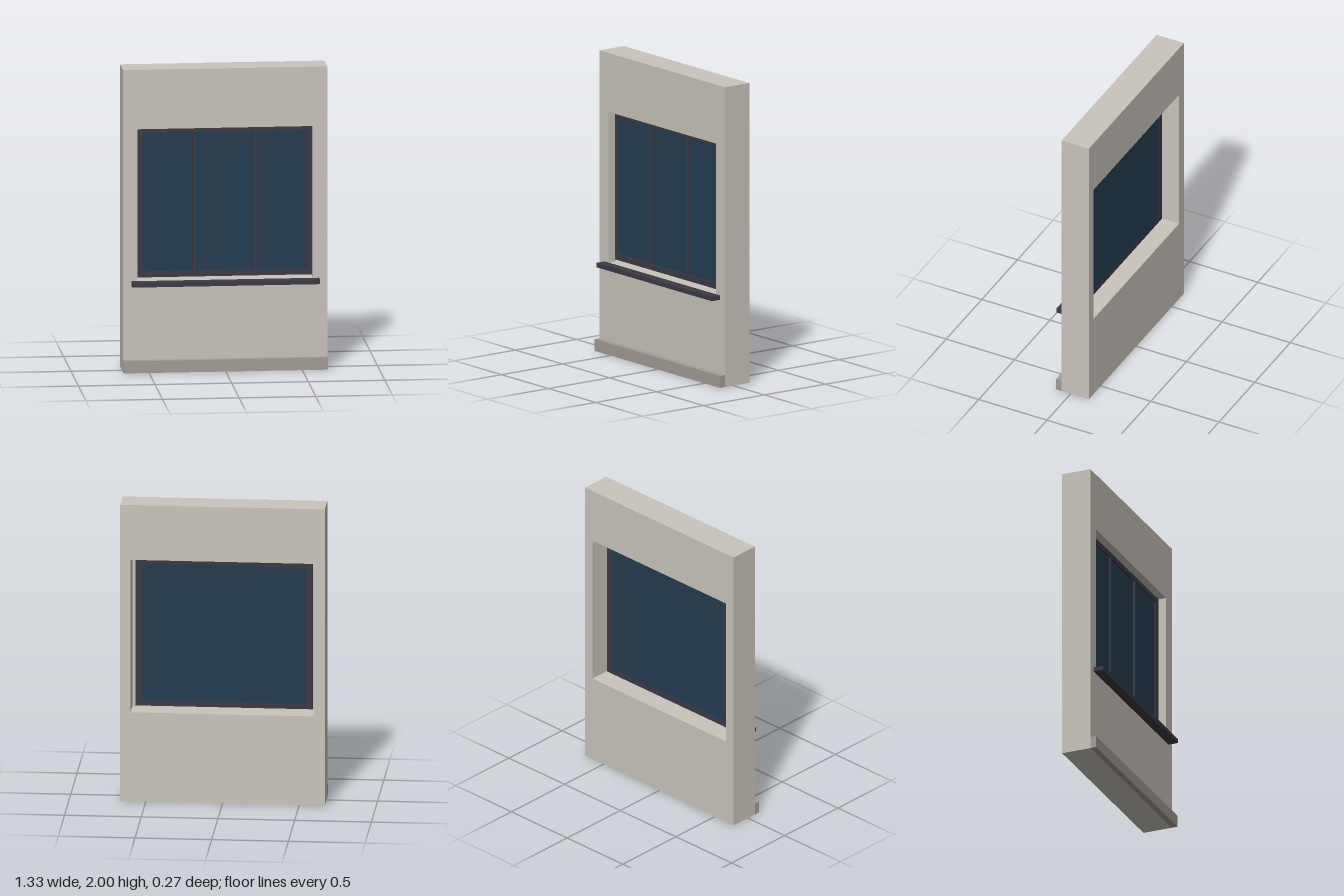
import * as THREE from 'three';

const mat = (name, color) => {
  const m = new THREE.MeshStandardMaterial({ color });
  m.name = name;
  return m;
};

// Rectangle with a rectangular hole, extruded from z0 to z1
function ring(outer, hole, z0, z1) {
  const corners = ([x, y0, y1]) => [[-x, y0], [x, y0], [x, y1], [-x, y1]].map(p => new THREE.Vector2(...p));
  const shape = new THREE.Shape(corners(outer));
  shape.holes.push(new THREE.Path(corners(hole)));
  const geo = new THREE.ExtrudeGeometry(shape, { depth: z1 - z0, bevelEnabled: false });
  return geo.translate(0, 0, z0);
}

// Box given by its limits
function box(x0, x1, y0, y1, z0, z1) {
  return new THREE.BoxGeometry(x1 - x0, y1 - y0, z1 - z0)
    .translate((x0 + x1) / 2, (y0 + y1) / 2, (z0 + z1) / 2);
}

export function createModel() {
  const model = new THREE.Group();
  const plaster = mat('plaster', 0xc9c5bc);
  const stone = mat('plinthStone', 0xa39d97);
  const metal = mat('darkMetal', 0x3c3a44);
  const glass = mat('blueGlass', 0x243c51);

  const add = (name, geo, material) => {
    const mesh = new THREE.Mesh(geo, material);
    mesh.name = name;
    model.add(mesh);
  };

  const W = 0.667, back = -0.133, front = 0.067, lip = 0.013;

  // Wall: the opening is wider behind a narrow front lip
  add('wallFront', ring([W, 0, 2], [0.573, 0.6, 1.607], lip, front), plaster);
  add('wallBack', ring([W, 0, 2], [0.6, 0.6, 1.63], back, lip), plaster);

  // Plinth and sill on the front face
  add('plinth', box(-W, W, 0, 0.08, front, 0.107), stone);
  add('sill', box(-0.613, 0.613, 0.572, 0.602, front, 0.133), metal);

  // Window frame, one glass pane near its back, and two mullions
  add('windowFrame', ring([0.578, 0.615, 1.612], [0.535, 0.653, 1.573], -0.018, lip - 0.001), metal);
  add('glassPane', box(-0.535, 0.535, 0.653, 1.573, -0.017, 0), glass);
  for (const x of [-0.199, 0.199]) {
    add('mullion', box(x - 0.01, x + 0.01, 0.653, 1.573, 0, lip - 0.001), metal);
  }
  return model;
}
